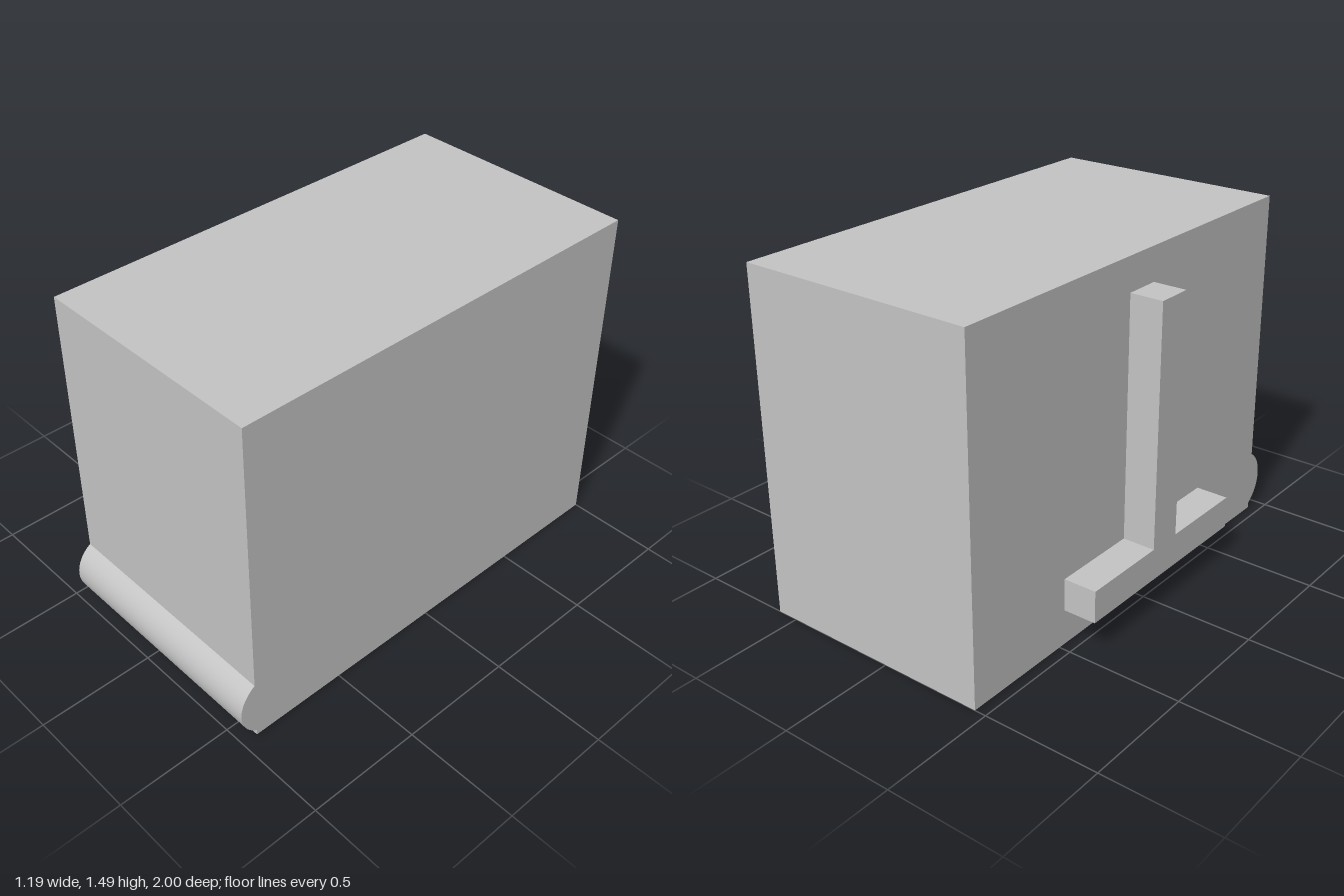
import * as THREE from 'three';
import { toCreasedNormals } from 'three/addons/utils/BufferGeometryUtils.js';

// Extrudes a side profile drawn in (z, y) from x = right down to x = right - width
function sideExtrude(shape, right, width) {
  const geo = new THREE.ExtrudeGeometry(shape, { depth: width, bevelEnabled: false, curveSegments: 32 });
  geo.rotateY(-Math.PI / 2);
  geo.translate(right, 0, 0);
  return toCreasedNormals(geo, 0.5);
}

export function createModel() {
  const group = new THREE.Group();
  const grey = new THREE.MeshStandardMaterial({ color: 0xc4c4c4 });
  grey.name = 'light grey';

  const add = (name, shape, right, width) => {
    const mesh = new THREE.Mesh(sideExtrude(shape, right, width), grey);
    mesh.name = name;
    group.add(mesh);
  };

  // Box body with a rounded bulge along the lower front edge
  const front = 0.93, top = 1.485;
  const rise = 0.125, radius = 0.147, bulgeY = 0.15;
  const angle = Math.asin(rise / radius);
  const body = new THREE.Shape();
  body.moveTo(-1, 0);
  body.lineTo(front, 0);
  body.lineTo(front, bulgeY - rise);
  body.absarc(front - radius * Math.cos(angle), bulgeY, radius, -angle, angle, false);
  body.lineTo(front, top);
  body.lineTo(-1, top);
  body.closePath();
  add('body', body, 0.595, 1.045);

  // Upside-down T rail on the -x side
  const rail = new THREE.Shape([
    [-0.47, 0.155], [0.47, 0.155], [0.47, 0.295], [0.075, 0.295],
    [0.075, 1.34], [-0.08, 1.34], [-0.08, 0.295], [-0.47, 0.295],
  ].map(([z, y]) => new THREE.Vector2(z, y)));
  add('sideRail', rail, -0.45, 0.145);

  return group;
}
